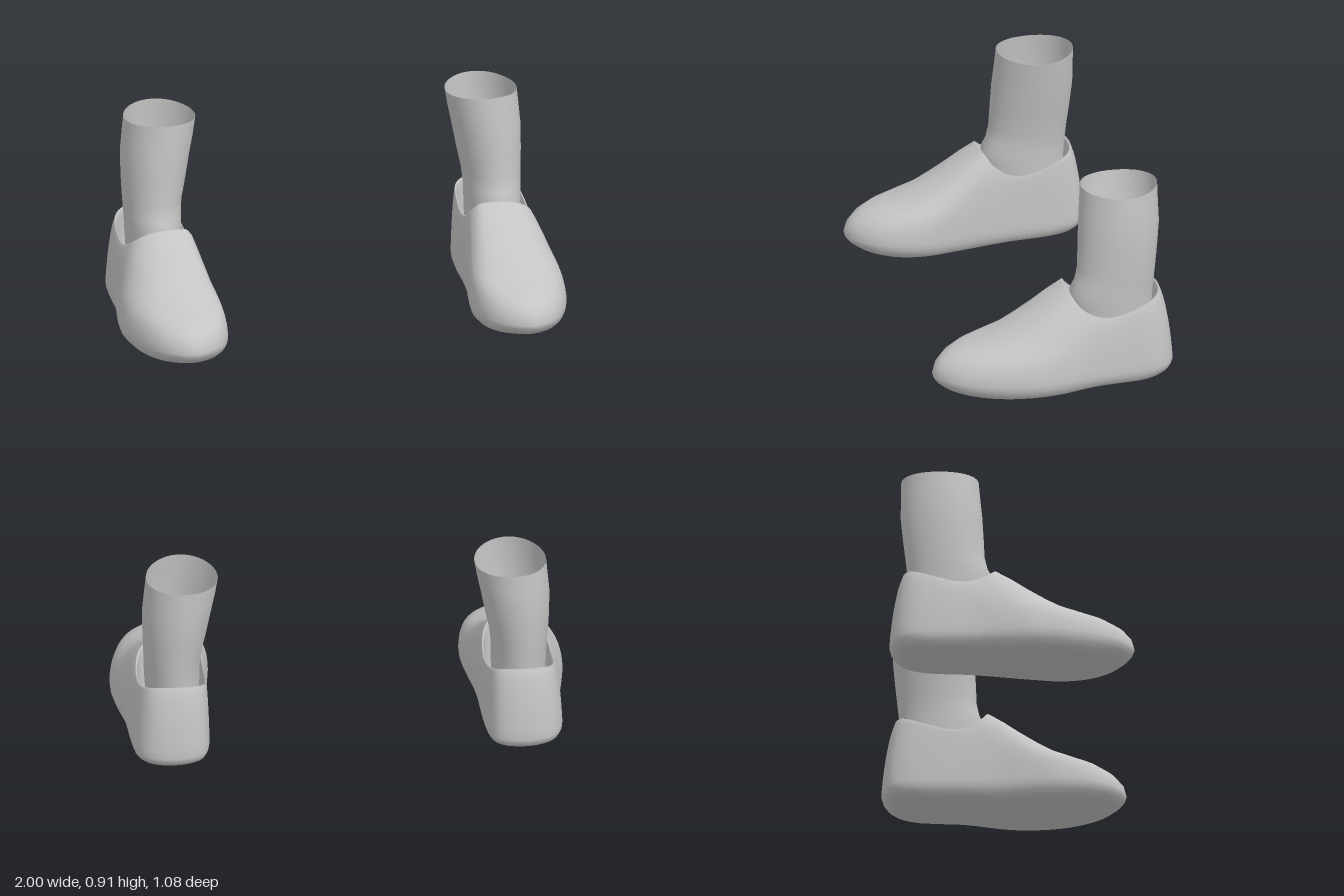
import * as THREE from 'three';

const N = 80; // points around every ring

// Smooth closed skin through rings that run from bottom to top.
function loft(rings, side, material, name) {
  const pos = [], index = [];
  rings.forEach(r => r.forEach(p => pos.push(p.x * side, p.y, p.z)));
  for (let i = 0; i < rings.length - 1; i++) {
    for (let j = 0; j < N; j++) {
      const a = i * N + j, b = i * N + (j + 1) % N, c = a + N, d = b + N;
      if (side > 0) index.push(a, b, c, b, d, c);
      else index.push(a, c, b, b, c, d);
    }
  }
  const g = new THREE.BufferGeometry();
  g.setAttribute('position', new THREE.Float32BufferAttribute(pos, 3));
  g.setIndex(index);
  g.computeVertexNormals();
  const mesh = new THREE.Mesh(g, material);
  mesh.name = name;
  return mesh;
}

// Widest outline: x, z, and how strongly the toe profile applies
const outline = [
  [.765, .54, 1], [.87, .485, .95], [.94, .38, .8], [.985, .24, .6], [1, .1, .4],
  [.985, -.03, .2], [.963, -.16, 0], [.955, -.32, 0], [.94, -.44, 0], [.885, -.515, 0],
  [.775, -.54, 0], [.665, -.515, 0], [.62, -.44, 0], [.605, -.3, 0], [.6, -.14, 0],
  [.59, -.01, .2], [.572, .1, .4], [.556, .24, .6], [.58, .38, .8], [.65, .485, .95]];

// Collar edge: x, y, z, matching the outline point for point
const collar = [
  [.75, .445, -.06], [.8, .44, -.062], [.85, .425, -.07], [.888, .4, -.088], [.907, .375, -.118],
  [.917, .352, -.165], [.922, .342, -.24], [.92, .365, -.34], [.9, .395, -.425], [.85, .415, -.47],
  [.765, .42, -.483], [.68, .415, -.47], [.635, .395, -.425], [.62, .362, -.33], [.615, .342, -.24],
  [.617, .352, -.165], [.622, .38, -.118], [.635, .41, -.088], [.66, .437, -.07], [.7, .445, -.062]];

// Rise from outline to collar: [inward fraction, height fraction]
const toeRise = [[0, 0], [.017, .11], [.067, .21], [.15, .29], [.28, .355],
  [.43, .43], [.58, .56], [.73, .71], [.87, .87], [1, 1]];
const sideRise = [[0, 0], [.05, .12], [.12, .25], [.2, .37], [.3, .5],
  [.42, .62], [.55, .74], [.7, .85], [.85, .93], [1, 1]];

// Sole rings: [x scale, z scale, y]
const sole = [[0, 0, 0], [.5, .6, .003], [.75, .85, .01], [.87, .925, .02], [.95, .965, .04], [.99, .99, .065]];

// Rings inside the collar: [scale, drop from edge, blend towards insole]
const lining = [[.975, -.004, 0], [.95, .004, 0], [.935, .025, 0], [.93, 0, .5], [.9, 0, .95], [.8, 0, 1], [0, 0, 1]];

// Leg rings: y, inner x, outer x, back z, front z
const legRings = [
  [.1, .66, .87, -.44, -.1], [.25, .65, .88, -.45, -.095], [.37, .645, .888, -.455, -.085],
  [.43, .645, .89, -.46, -.085], [.47, .643, .892, -.464, -.107], [.53, .637, .895, -.47, -.12],
  [.62, .618, .899, -.48, -.124], [.73, .598, .9, -.49, -.13],
  [.82, .58, .892, -.488, -.138], [.9, .568, .885, -.487, -.145]];

function ring(fn) {
  return Array.from({ length: N }, (_, j) => fn(j / N));
}

function shoeRings() {
  const lerp = THREE.MathUtils.lerp;
  const curve = pts => new THREE.CatmullRomCurve3(pts, true, 'catmullrom', 0.5);
  const edge = curve(outline.map(([x, z, f]) => new THREE.Vector3(x, f, z)));
  const top = curve(collar.map(p => new THREE.Vector3(...p)));
  const rings = [];

  // Sole, lifting a little at toe and heel
  for (const [sx, sz, y] of sole) {
    rings.push(ring(t => {
      const p = edge.getPoint(t);
      const z = p.z * sz;
      const lift = z > 0 ? .03 * Math.max(0, (z - .2) / .34) ** 2
        : .012 * Math.min(1, -z / .2) + .01 * Math.max(0, (-z - .35) / .19);
      return new THREE.Vector3(lerp(.775, p.x, sx), y + lift * (1 - y / .09), z);
    }));
  }

  // Upper
  toeRise.forEach((toe, k) => {
    rings.push(ring(t => {
      const o = edge.getPoint(t), c = top.getPoint(t);
      const f = THREE.MathUtils.clamp(o.y, 0, 1);
      const a = lerp(sideRise[k][0], toe[0], f), b = lerp(sideRise[k][1], toe[1], f);
      return new THREE.Vector3(lerp(o.x, c.x, a), lerp(.09, c.y, b), lerp(o.z, c.z, a));
    }));
  });

  // Rolled collar, lining and insole
  for (const [s, drop, blend] of lining) {
    rings.push(ring(t => {
      const c = top.getPoint(t);
      return new THREE.Vector3(lerp(.768, c.x, s), lerp(c.y - drop, .06, blend), lerp(-.275, c.z, s));
    }));
  }
  return rings;
}

function ankleRings() {
  return legRings.map(([y, x0, x1, z0, z1], i) => ring(t => {
    const a = t * Math.PI * 2, s = Math.sin(a), c = Math.cos(a);
    // Slightly uneven open top edge
    const wave = i === legRings.length - 1 ? .006 * Math.cos(2 * a) : 0;
    return new THREE.Vector3((x0 + x1) / 2 + s * (x1 - x0) / 2, y + wave, (z0 + z1) / 2 + c * (z1 - z0) / 2);
  }));
}

export function createModel() {
  const model = new THREE.Group();
  model.name = 'shoesWithAnkles';
  const grey = new THREE.MeshStandardMaterial({ color: 0xc4c4c4, side: THREE.DoubleSide });
  grey.name = 'plain grey';

  const shoe = shoeRings(), ankle = ankleRings();
  for (const [side, label] of [[1, 'left'], [-1, 'right']]) {
    const foot = new THREE.Group();
    foot.name = label + 'Foot';
    foot.add(loft(shoe, side, grey, label + 'Shoe'), loft(ankle, side, grey, label + 'Ankle'));
    model.add(foot);
  }
  return model;
}
